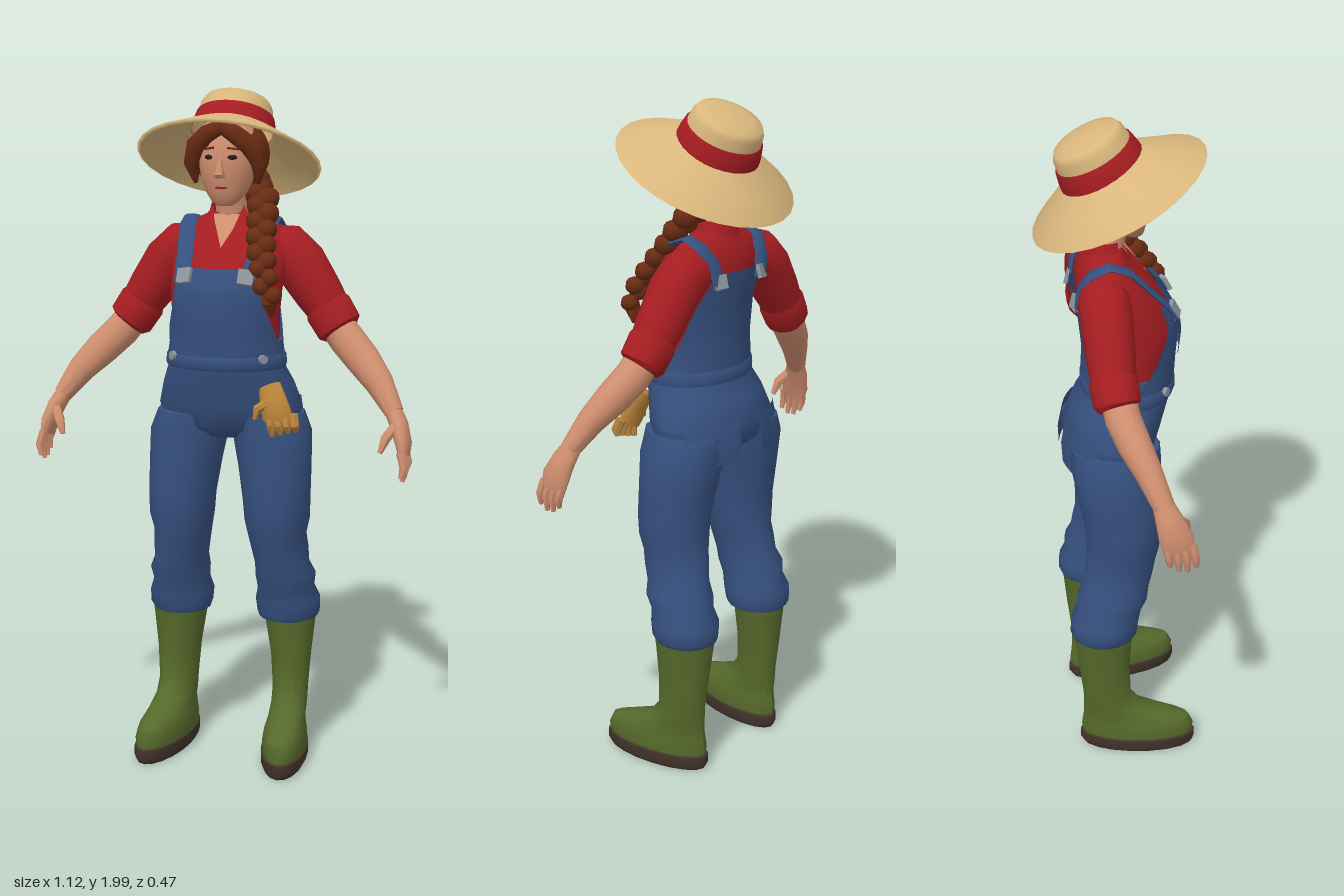
import * as THREE from 'three';
import { toCreasedNormals } from 'three/addons/utils/BufferGeometryUtils.js';

const mat = (name, color, side = THREE.DoubleSide) => {
  const m = new THREE.MeshStandardMaterial({ color, side });
  m.name = name;
  return m;
};

export function createModel() {
  const straw = mat('straw', 0xd9b67c), red = mat('red', 0xa51d21), denim = mat('denim', 0x36507f);
  const skin = mat('skin', 0xd08f70), hair = mat('hair', 0x6a2c13), rubber = mat('boot green', 0x56692b);
  const sole = mat('sole brown', 0x43352c), leather = mat('glove tan', 0xb98339);
  const metal = mat('metal', 0x8d969c), dark = mat('eye dark', 0x2c1a14);
  const root = new THREE.Group();
  root.name = 'farmer';

  const add = (name, geo, m, pos = [0, 0, 0], rot = [0, 0, 0], parent = root) => {
    const mesh = new THREE.Mesh(geo, m);
    mesh.name = name;
    mesh.position.set(...pos);
    mesh.rotation.set(...rot);
    parent.add(mesh);
    return mesh;
  };

  // Skin elliptical rings: rows of [x, y, z, rx, rz, halfAngle]. ref 'up' keeps rings level,
  // 'Z' and 'X' turn them along the path. A half angle makes an open panel around mid.
  const V = (x, y, z) => new THREE.Vector3(x, y, z);
  function loft(rows, { seg = 14, ref = 'up', mid = Math.PI / 2, crease = 0.7 } = {}) {
    const pos = [], idx = [], n = rows.length, open = rows[0].length > 5;
    rows.forEach(([x, y, z, rx, rz, half = 180], i) => {
      let u = V(1, 0, 0), w = V(0, 0, 1);
      if (ref !== 'up') {
        const a = rows[Math.max(i - 1, 0)], b = rows[Math.min(i + 1, n - 1)];
        const t = V(b[0] - a[0], b[1] - a[1], b[2] - a[2]).normalize();
        if (ref === 'Z') { u = t.clone().cross(w).normalize(); w = u.clone().cross(t); }
        else { w = u.clone().cross(t).normalize(); u = t.clone().cross(w); }
      }
      for (let j = 0; j <= seg; j++) {
        const a = mid + THREE.MathUtils.degToRad(half) * (2 * j / seg - 1);
        const p = V(x, y, z).addScaledVector(u, rx * Math.cos(a)).addScaledVector(w, rz * Math.sin(a));
        pos.push(p.x, p.y, p.z);
      }
    });
    const at = (i, j) => i * (seg + 1) + j;
    for (let i = 0; i < n - 1; i++) for (let j = 0; j < seg; j++)
      idx.push(at(i, j), at(i + 1, j), at(i, j + 1), at(i, j + 1), at(i + 1, j), at(i + 1, j + 1));
    if (!open) {
      const c = pos.length / 3;
      pos.push(...rows[0].slice(0, 3), ...rows[n - 1].slice(0, 3));
      for (let j = 0; j < seg; j++) idx.push(c, at(0, j), at(0, j + 1), c + 1, at(n - 1, j + 1), at(n - 1, j));
    }
    const g = new THREE.BufferGeometry();
    g.setAttribute('position', new THREE.Float32BufferAttribute(pos, 3));
    g.setIndex(idx);
    return toCreasedNormals(g, crease);
  }
  const level = rows => rows.map(([y, z, rx, rz, h]) => h ? [0, y, z, rx, rz, h] : [0, y, z, rx, rz]);
  const flip = (rows, s) => rows.map(([x, ...r]) => [x * s, ...r]);
  const tri = (...p) => {
    const g = new THREE.BufferGeometry().setFromPoints(p.map(q => V(...q)));
    g.computeVertexNormals();
    return g;
  };

  // Torso
  add('shirt', loft(level([[1.2, .02, .155, .11], [1.3, .025, .158, .118], [1.36, .03, .16, .125], [1.42, .028, .165, .13],
    [1.5, -.005, .172, .118], [1.56, -.03, .17, .093], [1.605, -.045, .145, .065], [1.64, -.04, .065, .05]]), { seg: 20 }), red);
  add('overallsHips', loft(level([[.99, -.025, .1, .09], [1.02, -.025, .2, .125], [1.08, -.022, .218, .14], [1.15, 0, .197, .137],
    [1.2, .022, .175, .13], [1.235, .025, .17, .128], [1.28, .026, .166, .126]]), { seg: 20 }), denim);
  add('waistband', loft(level([[1.2, .022, .177, .134], [1.21, .024, .18, .138], [1.235, .025, .178, .137], [1.245, .025, .172, .13]]), { seg: 20 }), denim);
  add('bibFront', loft(level([[1.24, .025, .173, .134, 88], [1.32, .028, .17, .136, 66], [1.39, .03, .17, .14, 52],
    [1.44, .024, .175, .139, 46], [1.49, .004, .18, .132, 43]])), denim);
  add('bibPocket', loft(level([[1.32, .03, .172, .142, 26], [1.38, .032, .174, .146, 26], [1.43, .026, .178, .146, 26]])), denim);
  add('bibBack', loft(level([[1.24, .025, .173, .134, 88], [1.32, .026, .17, .132, 64], [1.42, .024, .175, .14, 48],
    [1.5, -.005, .18, .13, 36], [1.53, -.018, .18, .12, 32]]), { mid: -Math.PI / 2 }), denim);

  // Neck, open neckline and head
  add('neck', loft(level([[1.57, -.035, .055, .05], [1.64, -.03, .046, .046], [1.73, -.01, .048, .05]])), skin);
  add('neckline', tri([-.045, 1.637, .012], [0, 1.545, .085], [.045, 1.637, .012]), skin);
  add('collarBack', loft(level([[1.615, -.045, .078, .06, 125], [1.645, -.04, .068, .056, 125], [1.665, -.04, .062, .054, 125]]),
    { mid: -Math.PI / 2 }), red);
  add('head', loft(level([[1.662, .045, .02, .015], [1.672, .038, .038, .032], [1.7, .022, .06, .055], [1.74, .012, .077, .078],
    [1.79, .008, .086, .085], [1.84, 0, .088, .088], [1.9, -.01, .066, .066]]), { seg: 18, crease: 1.2 }), skin);
  add('nose', loft([[0, 1.742, .092, .016, .014], [0, 1.752, .096, .016, .018], [0, 1.775, .092, .009, .012], [0, 1.8, .086, .006, .008]], { seg: 8 }), skin);
  add('mouth', new THREE.SphereGeometry(.02, 10, 6), red, [0, 1.715, .078]).scale.set(1, .22, .25);

  // Hair: cap, nape, parted fringe and side braid
  add('hairCap', new THREE.SphereGeometry(1, 18, 12), hair, [0, 1.805, -.028]).scale.set(.112, .108, .098);
  add('hairNape', new THREE.SphereGeometry(1, 14, 10), hair, [.025, 1.725, -.06]).scale.set(.085, .06, .055);
  const braidPath = new THREE.CatmullRomCurve3([V(.05, 1.72, -.07), V(.095, 1.68, -.02), V(.108, 1.6, .04), V(.125, 1.52, .1),
    V(.145, 1.46, .135), V(.155, 1.42, .14)]);
  for (let i = 0; i < 16; i++) {
    const p = braidPath.getPointAt(i / 15), s = i % 2 ? 1 : -1, r = .044 - .014 * (i / 15);
    add('braidLobe', new THREE.SphereGeometry(r, 9, 7), hair, [p.x + s * .015, p.y, p.z], [.4, 0, s * .6]).scale.set(.85, .8, .9);
  }
  add('braidTip', loft([[.154, 1.43, .138, .014, .014], [.158, 1.4, .138, .024, .022], [.163, 1.36, .13, .005, .005]], { ref: 'Z', seg: 8 }), hair);

  // Sun hat, tipped back
  const hat = new THREE.Group();
  hat.name = 'hat';
  hat.position.set(0, 1.79, 0);
  hat.rotation.x = -THREE.MathUtils.degToRad(27);
  root.add(hat);
  const lathe = pts => new THREE.LatheGeometry(pts.map(p => new THREE.Vector2(...p)), 28);
  add('hatBrim', lathe([[.255, -.006], [.266, 0], [.2, .04], [.155, .068], [.115, .09]]), straw, [0, 0, 0], [0, 0, 0], hat);
  add('hatCrown', lathe([[.118, .085], [.11, .13], [.105, .165], [.095, .182], [.06, .192], [0, .196]]), straw, [0, 0, -.008], [0, 0, 0], hat);
  add('hatBand', lathe([[.124, .083], [.122, .1], [.114, .135], [.108, .136]]), red, [0, 0, -.008], [0, 0, 0], hat);

  for (const s of [1, -1]) {
    const part = (name, rows, m, opt) => add(name, loft(flip(rows, s), opt), m);
    const Z = { ref: 'Z' };

    // Face details, fringe and collar flap
    add('eye', new THREE.SphereGeometry(.014, 10, 6), dark, [s * .035, 1.8, .086], [0, s * .4, 0]).scale.set(1, .5, .3);
    add('eyebrow', new THREE.BoxGeometry(.034, .006, .008), hair, [s * .036, 1.824, .083], [0, s * .4, -s * .12]);
    part('fringe', [[0, 1.885, .075, .02, .02], [.04, 1.865, .082, .026, .018], [.08, 1.83, .06, .03, .02],
      [.1, 1.78, .035, .024, .024], [.093, 1.725, .02, .006, .008]], hair, Z);
    add('collarFlap', tri([s * .045, 1.662, 0], [s * .022, 1.575, .072], [s * .085, 1.598, .045]), red);

    // Straps, buckles and side buttons
    part('strap', [[.095, 1.45, .15, .024, .007], [.1, 1.49, .122, .024, .007], [.11, 1.55, .065, .024, .007], [.12, 1.605, .015, .025, .007],
      [.122, 1.625, -.04, .026, .007], [.12, 1.605, -.09, .026, .007], [.105, 1.56, -.118, .026, .007], [.085, 1.49, -.133, .026, .007]],
    denim, { ref: 'X', seg: 8 });
    add('buckle', new THREE.BoxGeometry(.044, .045, .012), metal, [s * .09, 1.47, .145], [-.5, s * .3, 0]);
    add('backBuckle', new THREE.BoxGeometry(.04, .04, .012), metal, [s * .09, 1.51, -.132], [.25, s * -.3, 0]);
    add('sideButton', new THREE.CylinderGeometry(.013, .013, .012, 10), metal, [s * .135, 1.235, .117], [1.57, 0, -s * .7]);

    // Arms
    part('sleeve', [[.1, 1.545, -.06, .06, .06], [.155, 1.535, -.06, .075, .074], [.2, 1.49, -.058, .077, .072],
      [.255, 1.41, -.055, .07, .068], [.29, 1.36, -.053, .062, .062]], red, Z);
    part('rolledCuff', [[.275, 1.38, -.053, .062, .062], [.285, 1.365, -.053, .07, .068], [.32, 1.312, -.047, .068, .066],
      [.327, 1.303, -.045, .056, .055]], red, Z);
    part('forearm', [[.3, 1.335, -.045, .05, .05], [.345, 1.28, -.035, .052, .05], [.4, 1.225, -.01, .05, .047],
      [.455, 1.165, .022, .041, .038], [.505, 1.09, .055, .027, .03]], skin, Z);
    part('palm', [[.495, 1.105, .048, .024, .028], [.52, 1.06, .065, .026, .038], [.537, 1.01, .082, .023, .047],
      [.541, .975, .092, .015, .044]], skin, Z);
    for (let f = 0; f < 4; f++) {
      const z = .055 + f * .024, drop = [.925, .908, .905, .918][f];
      part('finger', [[.538, .99, z, .013, .013], [.549, .95, z + .008, .012, .012], [.542, drop, z + .012, .007, .007]], skin, { ref: 'Z', seg: 7 });
    }
    part('thumb', [[.515, 1.06, .085, .014, .016], [.492, 1.025, .115, .015, .015], [.478, .985, .125, .007, .008]], skin, { ref: 'Z', seg: 7 });

    // Trouser leg with folds at the knee and hem
    part('trouserLeg', [[.168, .425, -.068, .088, .095], [.17, .44, -.068, .095, .102], [.168, .48, -.065, .098, .104], [.165, .52, -.052, .085, .1],
      [.166, .56, -.042, .09, .108], [.158, .6, -.03, .08, .102], [.153, .65, -.02, .084, .105], [.147, .69, -.012, .086, .105],
      [.148, .74, -.006, .097, .11], [.146, .8, -.005, .1, .114], [.138, .9, -.015, .108, .122], [.127, 1, -.024, .117, .132],
      [.115, 1.06, -.025, .105, .13]], denim, { seg: 16 });
    add('hipPocket', loft(level([[.98, -.028, .235, .148, 22], [1.04, -.026, .235, .152, 24], [1.1, -.018, .226, .148, 25]]),
      { mid: -Math.PI / 2 - s * -.62, seg: 6 }), denim);

    // Boots, toes turned slightly out
    const splay = g => {
      const p = g.attributes.position;
      for (let i = 0; i < p.count; i++) p.setX(i, p.getX(i) + s * .12 * p.getZ(i));
      g.computeVertexNormals();
      return toCreasedNormals(g, .7);
    };
    add('boot', splay(loft(flip([[.182, .035, .035, .064, .17], [.182, .07, .035, .067, .174], [.182, .1, .03, .062, .165], [.183, .125, -.002, .056, .13],
      [.185, .155, -.042, .055, .09], [.186, .2, -.06, .055, .073], [.186, .3, -.068, .062, .077], [.183, .4, -.07, .076, .085],
      [.183, .44, -.07, .08, .09]], s), { seg: 18 })), rubber);
    add('bootSole', splay(loft(flip([[.182, 0, .035, .062, .168], [.182, .015, .035, .07, .178], [.182, .045, .035, .07, .178],
      [.182, .05, .035, .06, .165]], s), { seg: 18 })), sole);
  }

  // Work glove tucked into the left pocket
  add('gloveCuff', loft([[.15, 1.155, .098, .034, .018], [.165, 1.12, .118, .04, .022], [.18, 1.08, .13, .045, .022], [.19, 1.06, .13, .038, .018]],
    { ref: 'Z' }), leather);
  for (let f = 0; f < 4; f++) {
    const x = .158 + f * .023;
    add('gloveFinger', loft([[x, 1.085, .128, .015, .015], [x + .008, 1.05, .14, .014, .015], [x + .01, 1.018 + f * .006, .132, .008, .008]],
      { ref: 'Z', seg: 7 }), leather);
  }
  add('gloveThumb', loft([[.15, 1.11, .125, .015, .016], [.125, 1.095, .14, .014, .014], [.118, 1.065, .14, .007, .008]], { ref: 'Z', seg: 7 }), leather);

  return root;
}
